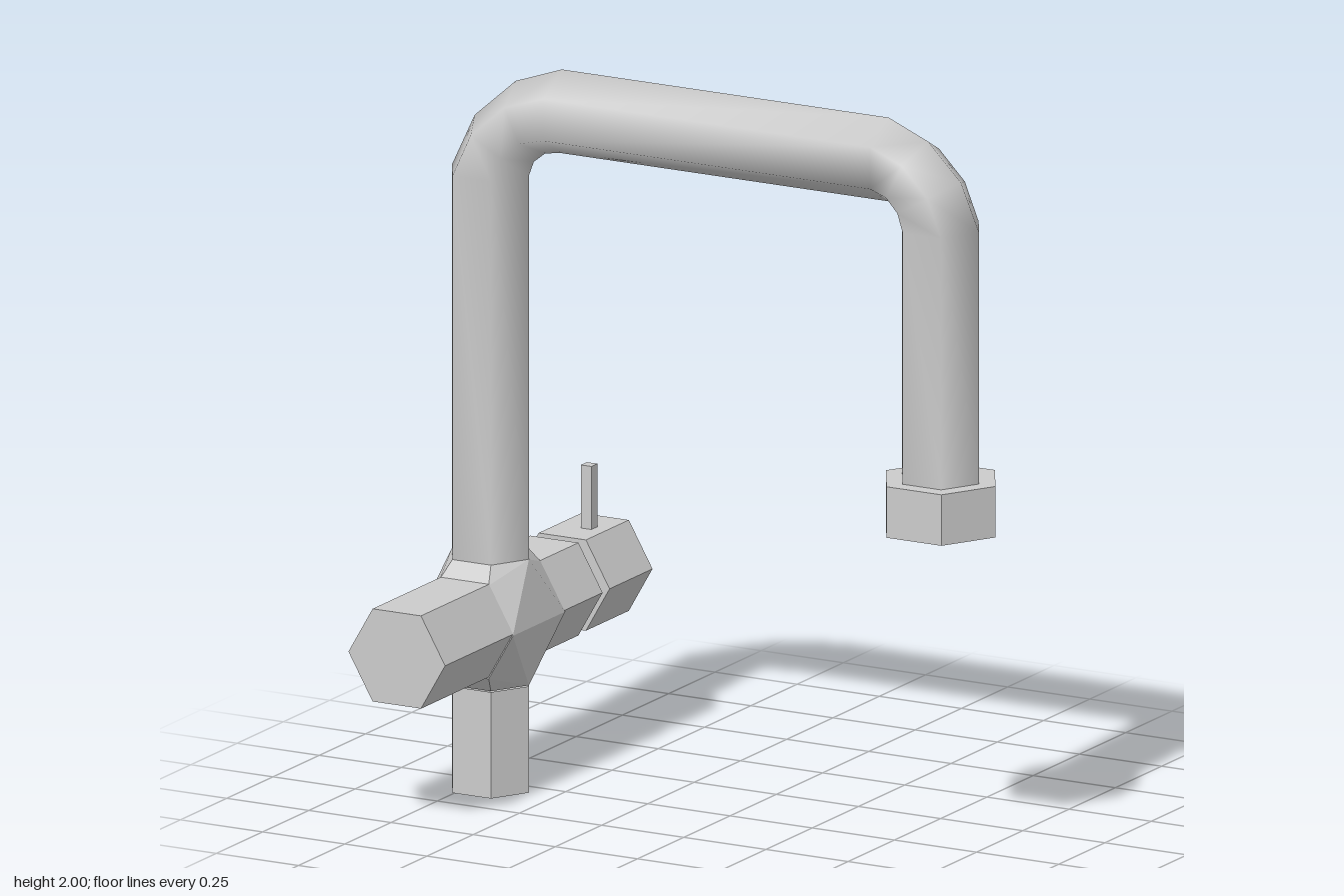
import * as THREE from 'three';
import { ConvexGeometry } from 'three/addons/geometries/ConvexGeometry.js';

const X = -0.697, Z = 0.057, BODY_Y = 0.472;
const flat = new THREE.MeshStandardMaterial({ color: 0xcccccc, flatShading: true, side: THREE.DoubleSide });
const smooth = new THREE.MeshStandardMaterial({ color: 0xcccccc, side: THREE.DoubleSide });

// Six-sided bar with two corners on the x axis, standing upright
function hexBar(radius, length, open = false) {
  return new THREE.CylinderGeometry(radius, radius, length, 6, 1, open).rotateY(Math.PI / 6);
}

// Hexagonal pipe swept through pairs of outer and inner ridge points
function sweptPipe(stations, halfWidth) {
  const pos = [], index = [];
  stations.forEach(([ox, oy, ix, iy], i) => {
    for (let j = 0; j < 6; j++) {
      const a = j * Math.PI / 3, c = Math.cos(a) / 2;
      pos.push((ox + ix) / 2 + (ox - ix) * c, (oy + iy) / 2 + (oy - iy) * c, Z + halfWidth * Math.sin(a));
      if (i === 0) continue;
      const k = (j + 1) % 6, p = (i - 1) * 6, q = i * 6;
      index.push(p + j, p + k, q + j, p + k, q + k, q + j);
    }
  });
  const g = new THREE.BufferGeometry();
  g.setAttribute('position', new THREE.Float32BufferAttribute(pos, 3));
  g.setIndex(index);
  g.computeVertexNormals();
  return g;
}

export function createModel() {
  const model = new THREE.Group();
  model.name = 'tap';
  const add = (name, geometry, x, y, z, material = flat) => {
    const mesh = new THREE.Mesh(geometry, material);
    mesh.name = name;
    mesh.position.set(x, y, z);
    model.add(mesh);
  };
  // Horizontal bar between two z values
  const addBar = (name, radius, z0, z1) =>
    add(name, hexBar(radius, z1 - z0).rotateX(Math.PI / 2), X, BODY_Y, (z0 + z1) / 2);

  // Stem, open at the bottom
  add('stem', hexBar(0.117, 0.292, true), X, 0.146, Z);

  // Valve body, neck and handle in a row along z
  addBar('valveBody', 0.147, -0.288, 0.563);
  addBar('neck', 0.115, -0.34, -0.28);
  addBar('handle', 0.144, -0.563, -0.331);
  add('lever', new THREE.BoxGeometry(0.032, 0.18, 0.032), -0.68, 0.68, -0.446);

  // Flared joint where stem and body cross
  const corners = [];
  for (let j = 0; j < 6; j++) {
    const c = Math.cos(j * Math.PI / 3), s = Math.sin(j * Math.PI / 3);
    for (const side of [-1, 1]) {
      corners.push(new THREE.Vector3(0.117 * c, side * 0.173, 0.117 * s));
      corners.push(new THREE.Vector3(0.148 * c, 0.148 * s, side * 0.141));
    }
  }
  add('joint', new ConvexGeometry(corners), X, 0.468, Z);

  // Spout: riser, bend, cross run, bend, drop (outer x, y, inner x, y)
  const spout = sweptPipe([
    [-0.814, 0.64, -0.58, 0.64],
    [-0.814, 1.695, -0.58, 1.695],
    [-0.745, 1.84, -0.565, 1.735],
    [-0.62, 1.95, -0.53, 1.763],
    [-0.48, 2.0, -0.48, 1.77],
    [0.515, 2.0, 0.515, 1.77],
    [0.635, 1.95, 0.54, 1.763],
    [0.735, 1.85, 0.553, 1.745],
    [0.79, 1.72, 0.556, 1.72],
    [0.79, 1.03, 0.556, 1.03],
  ], 0.117);
  add('spout', spout, 0, 0, 0, smooth);

  // Nozzle collar, open below, with a shoulder around the pipe
  add('nozzleCollar', hexBar(0.167, 0.14, true), 0.673, 0.96, Z);
  add('nozzleShoulder', new THREE.RingGeometry(0.117, 0.167, 6).rotateX(-Math.PI / 2), 0.673, 1.03, Z);

  return model;
}
